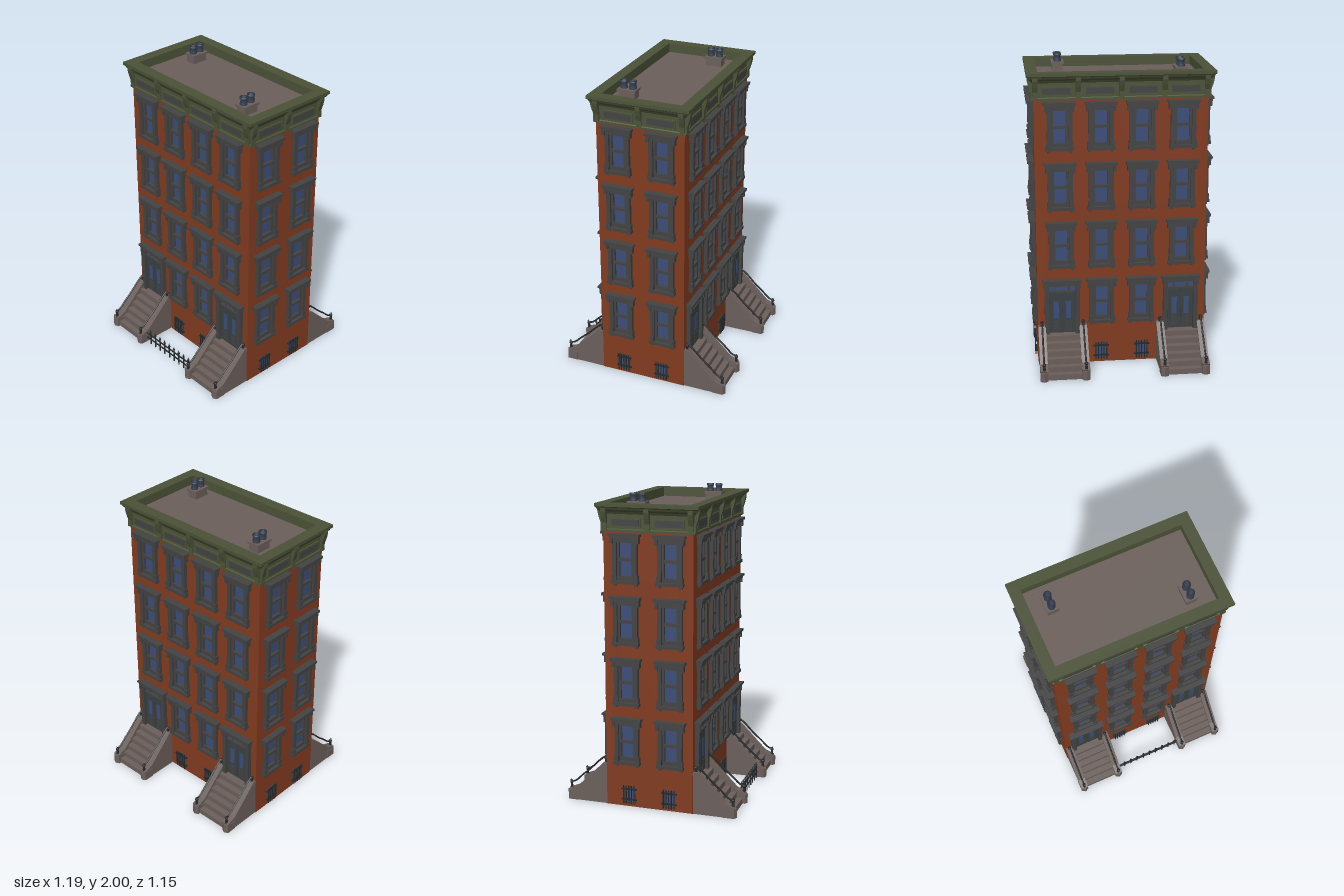
import * as THREE from 'three';

const paint = (name, color, side = THREE.FrontSide) => {
  const m = new THREE.MeshStandardMaterial({ color, side });
  m.name = name;
  return m;
};

export function createModel() {
  const brick = paint('brick', 0x823b20, THREE.DoubleSide);
  const stone = paint('brownstone', 0x6b5f5b, THREE.DoubleSide);
  const green = paint('corniceGreen', 0x4b5238, THREE.DoubleSide);
  const trim = paint('darkTrim', 0x424342);
  const doorPaint = paint('doorPaint', 0x3a4042);
  const glass = paint('glass', 0x3c4d78, THREE.DoubleSide);
  const iron = paint('iron', 0x26292c);
  const slate = paint('slate', 0x354050, THREE.DoubleSide);

  const model = new THREE.Group();
  model.name = 'townhouse';

  const add = (parent, name, geo, mat, x = 0, y = 0, z = 0) => {
    const m = new THREE.Mesh(geo, mat);
    m.name = name;
    m.position.set(x, y, z);
    parent.add(m);
    return m;
  };
  // Box given by centre x, bottom y and back z
  const box = (p, name, mat, w, h, d, x, y, z) =>
    add(p, name, new THREE.BoxGeometry(w, h, d), mat, x, y + h / 2, z + d / 2);
  const group = (parent, name, x = 0, y = 0, z = 0) => {
    const g = new THREE.Group();
    g.name = name;
    g.position.set(x, y, z);
    parent.add(g);
    return g;
  };
  const shapeOf = pts => new THREE.Shape(pts.map(p => new THREE.Vector2(...p)));
  // Profile in (z, y), extruded to width w centred on x
  const sideExtrude = (pts, w) =>
    new THREE.ExtrudeGeometry(shapeOf(pts), { depth: w, bevelEnabled: false })
      .rotateY(-Math.PI / 2).translate(w / 2, 0, 0);

  // Sash window, y = underside of sill
  function sashWindow(f, x, y) {
    const g = group(f, 'window', x, y);
    add(g, 'pane', new THREE.PlaneGeometry(0.1, 0.24), glass, 0, 0.145, -0.008);
    for (const s of [-1, 1]) {
      box(g, 'casing', trim, 0.026, 0.25, 0.024, s * 0.067, 0.02, 0);
      box(g, 'casingEar', trim, 0.02, 0.03, 0.034, s * 0.084, 0.25, 0);
      box(g, 'casingFoot', trim, 0.03, 0.035, 0.028, s * 0.07, 0.02, 0);
      box(g, 'sillBracket', trim, 0.018, 0.016, 0.02, s * 0.07, -0.014, 0);
      box(g, 'sashStile', trim, 0.016, 0.24, 0.018, s * 0.047, 0.025, -0.01);
    }
    box(g, 'sill', trim, 0.176, 0.02, 0.032, 0, 0, 0);
    box(g, 'bottomRail', trim, 0.1, 0.025, 0.02, 0, 0.02, -0.01);
    box(g, 'meetingRail', trim, 0.1, 0.018, 0.022, 0, 0.14, -0.01);
    box(g, 'header', trim, 0.16, 0.026, 0.026, 0, 0.255, -0.006);
    box(g, 'lintel', trim, 0.19, 0.014, 0.036, 0, 0.28, 0);
    box(g, 'lintelCap', trim, 0.204, 0.016, 0.044, 0, 0.294, 0);
  }

  // Basement window behind an iron grille
  function basementWindow(f, x) {
    const g = group(f, 'basementWindow', x, 0.02);
    add(g, 'pane', new THREE.PlaneGeometry(0.08, 0.11), glass, 0, 0.06, -0.008);
    for (const s of [-1, 1]) box(g, 'frameSide', trim, 0.008, 0.11, 0.012, s * 0.038, 0.005, -0.008);
    for (const y of [0.003, 0.107]) box(g, 'frameRail', trim, 0.084, 0.008, 0.012, 0, y, -0.008);
    for (let i = -2; i <= 2; i++) box(g, 'grilleBar', iron, 0.006, 0.125, 0.006, i * 0.018, 0, 0.012);
    for (const y of [0.025, 0.095]) box(g, 'grilleRail', iron, 0.102, 0.007, 0.014, 0, y, 0);
  }

  // Double door with transom and moulded surround
  function entrance(f, x) {
    const g = group(f, 'entrance', x, 0.22);
    box(g, 'doorBack', doorPaint, 0.18, 0.29, 0.012, 0, 0, -0.012);
    add(g, 'transom', new THREE.PlaneGeometry(0.17, 0.045), glass, 0, 0.315, -0.004);
    box(g, 'transomBar', trim, 0.18, 0.012, 0.018, 0, 0.284, -0.004);
    for (const s of [-1, 1]) {
      box(g, 'pilaster', trim, 0.03, 0.34, 0.028, s * 0.1, 0, 0);
      box(g, 'pilasterCap', trim, 0.022, 0.035, 0.036, s * 0.107, 0.315, 0);
      box(g, 'doorLeaf', doorPaint, 0.078, 0.275, 0.008, s * 0.042, 0.005, 0);
      box(g, 'doorPane', glass, 0.034, 0.12, 0.004, s * 0.04, 0.105, 0.007);
      box(g, 'doorPanel', trim, 0.042, 0.065, 0.004, s * 0.04, 0.02, 0.007);
      box(g, 'transomDivider', trim, 0.008, 0.05, 0.012, s * 0.045, 0.293, -0.004);
    }
    box(g, 'header', trim, 0.22, 0.02, 0.03, 0, 0.334, 0);
    box(g, 'lintel', trim, 0.24, 0.012, 0.038, 0, 0.352, 0);
    box(g, 'lintelCap', trim, 0.254, 0.013, 0.045, 0, 0.364, 0);
  }

  // Flight of steps between sloping cheek walls with handrails
  const stairTop = [], stairUnder = [];
  for (let i = 0; i < 6; i++) {
    const z = 0.255 - i * 0.04, y = (i + 1) * 0.0367;
    stairTop.push([z, y - 0.0367], [z, y]);
    stairUnder.unshift([z - 0.006, y - 0.04], [z - 0.006, y - 0.006]);
  }
  stairUnder.forEach((p, i) => { if (p[1] < 0) p[1] = 0; });
  for (let i = 0; i < stairUnder.length; i += 2)
    [stairUnder[i], stairUnder[i + 1]] = [stairUnder[i + 1], stairUnder[i]];
  const stairPts = [...stairTop, [0, 0.22], [0, 0.214], ...stairUnder];
  const cheekPts = [[0, 0], [0.26, 0], [0.26, 0.06], [0.2, 0.085], [0.02, 0.262], [0, 0.262]];
  const capPts = [[0, 0.258], [0.018, 0.258], [0.2, 0.079], [0.265, 0.058], [0.27, 0.07],
    [0.208, 0.094], [0.024, 0.276], [0, 0.276]];
  const railPath = new THREE.CatmullRomCurve3([[0.312, 0.02], [0.29, 0.05], [0.22, 0.12],
    [0.168, 0.18], [0.126, 0.225], [0.116, 0.25], [0.128, 0.266]]
    .map(([y, z]) => new THREE.Vector3(0, y, z)));

  function stoop(f, x) {
    const g = group(f, 'stoop', x);
    add(g, 'steps', sideExtrude(stairPts, 0.23), stone);
    for (const s of [-1, 1]) {
      const c = group(g, 'cheek', s * 0.135);
      add(c, 'cheekWall', sideExtrude(cheekPts, 0.042), stone);
      add(c, 'cheekCap', sideExtrude(capPts, 0.05), stone);
      // Base with a pointed end
      add(c, 'cheekBase', new THREE.ExtrudeGeometry(
        shapeOf([[-0.025, -0.2], [0.025, -0.2], [0.025, -0.27], [0, -0.283], [-0.025, -0.27]]),
        { depth: 0.062, bevelEnabled: false }).rotateX(-Math.PI / 2), stone);
      add(c, 'handrail', new THREE.TubeGeometry(railPath, 20, 0.006, 6), iron);
      for (const [y, h, z] of [[0.26, 0.035, 0.014], [0.065, 0.04, 0.258]]) {
        add(c, 'newelPost', new THREE.CylinderGeometry(0.007, 0.011, h, 8), iron, 0, y + h / 2, z);
        add(c, 'newelBall', new THREE.SphereGeometry(0.012, 8, 6), iron, 0, y + h + 0.006, z);
      }
    }
  }

  // Cornice bracket profile
  const bracketPts = [[0, 1.785], [0.016, 1.785], [0.016, 1.83], [0.028, 1.865],
    [0.036, 1.9], [0.036, 1.922], [0, 1.922]];

  // One outside wall with its openings, windows and cornice ornament
  function facade(name, half, dist, angle, cols, basement, doors, panels) {
    const f = group(model, name);
    f.rotation.y = angle;
    f.position.set(Math.sin(angle) * dist, 0, Math.cos(angle) * dist);
    const wall = shapeOf([[-half, 0], [half, 0], [half, 1.79], [-half, 1.79]]);
    const hole = (x, y, w, h) => wall.holes.push(new THREE.Path(
      [[x - w, y], [x - w, y + h], [x + w, y + h], [x + w, y]].map(p => new THREE.Vector2(...p))));
    for (let row = 0; row < 4; row++) for (const x of cols) {
      if (row === 0 && doors.includes(x)) continue;
      const y = 0.288 + row * 0.39;
      hole(x, y + 0.026, 0.049, 0.236);
      sashWindow(f, x, y);
    }
    for (const x of basement) {
      hole(x, 0.027, 0.038, 0.104);
      basementWindow(f, x);
    }
    for (const x of doors) {
      hole(x, 0.222, 0.086, 0.335);
      entrance(f, x);
      stoop(f, x);
    }
    add(f, 'wall', new THREE.ShapeGeometry(wall), brick);
    for (const x of panels) {
      box(f, 'friezeFrame', green, 0.195, 0.058, 0.01, x, 1.806, 0.004);
      box(f, 'friezePanel', trim, 0.175, 0.04, 0.003, x, 1.815, 0.0125);
    }
    const step = panels[1] - panels[0];
    for (let i = 0; i <= panels.length; i++) {
      const x = Math.max(-half + 0.012, Math.min(half - 0.012, panels[0] + (i - 0.5) * step));
      add(f, 'corniceBracket', sideExtrude(bracketPts, 0.032), green, x);
    }
  }

  const wide = [-0.39, -0.13, 0.13, 0.39], narrow = [-0.145, 0.145];
  const longPanels = [-0.405, -0.135, 0.135, 0.405];
  for (const [name, a] of [['front', 0], ['back', Math.PI]])
    facade(name, 0.55, 0.29, a, wide, [-0.135, 0.135], [-0.39, 0.39], longPanels);
  for (const [name, a] of [['leftSide', Math.PI / 2], ['rightSide', -Math.PI / 2]])
    facade(name, 0.29, 0.55, a, narrow, [-0.135, 0.135], [], [-0.14, 0.14]);

  // Cornice swept around the rectangular plan: [outward offset, height]
  const profile = [[0, 1.777], [0.012, 1.777], [0.012, 1.79], [0.005, 1.795], [0.005, 1.885],
    [0.014, 1.9], [0.028, 1.912], [0.034, 1.925], [0.042, 1.93], [0.042, 1.95],
    [-0.03, 1.95], [-0.03, 1.885]];
  const corner = ([o, y], k) => {
    const [sx, sz] = [[-1, 1], [1, 1], [1, -1], [-1, -1]][k % 4];
    return [sx * (0.55 + o), y, sz * (0.29 + o)];
  };
  const verts = [];
  for (let i = 0; i < profile.length - 1; i++) for (let k = 0; k < 4; k++) {
    const a = corner(profile[i], k), b = corner(profile[i], k + 1);
    const c = corner(profile[i + 1], k + 1), d = corner(profile[i + 1], k);
    verts.push(...a, ...b, ...c, ...a, ...c, ...d);
  }
  const cornice = new THREE.BufferGeometry();
  cornice.setAttribute('position', new THREE.Float32BufferAttribute(verts, 3));
  cornice.computeVertexNormals();
  add(model, 'cornice', cornice, green);
  box(model, 'roof', stone, 1.04, 0.01, 0.52, 0, 1.88, -0.26);

  // Chimneys with paired pots
  const pot = [[0.024, 0], [0.024, 0.012], [0.021, 0.014], [0.021, 0.036], [0.025, 0.039],
    [0.025, 0.05], [0.018, 0.05], [0.016, 0.015], [0, 0.015]].map(p => new THREE.Vector2(...p));
  for (const [x, z] of [[-0.394, -0.12], [0.374, 0.15]]) {
    const g = group(model, 'chimney', x, 1.89, z);
    box(g, 'chimneyStack', stone, 0.068, 0.045, 0.106, 0, 0, -0.053);
    box(g, 'chimneyCap', stone, 0.082, 0.016, 0.12, 0, 0.044, -0.06);
    for (const s of [-1, 1])
      add(g, 'chimneyPot', new THREE.LatheGeometry(pot, 12), slate, 0, 0.06, s * 0.029);
  }

  // Front area railing between the stoops
  const fence = group(model, 'fence', 0, 0, 0.512);
  for (const y of [0.035, 0.07]) box(fence, 'fenceRail', iron, 0.47, 0.006, 0.008, 0, y, -0.004);
  for (let i = 0; i < 9; i++) {
    const x = -0.188 + i * 0.05;
    box(fence, 'picket', iron, 0.007, 0.095, 0.007, x, 0, -0.0035);
    add(fence, 'picketTip', new THREE.ConeGeometry(0.009, 0.026, 6), iron, x, 0.106, 0);
  }
  return model;
}
